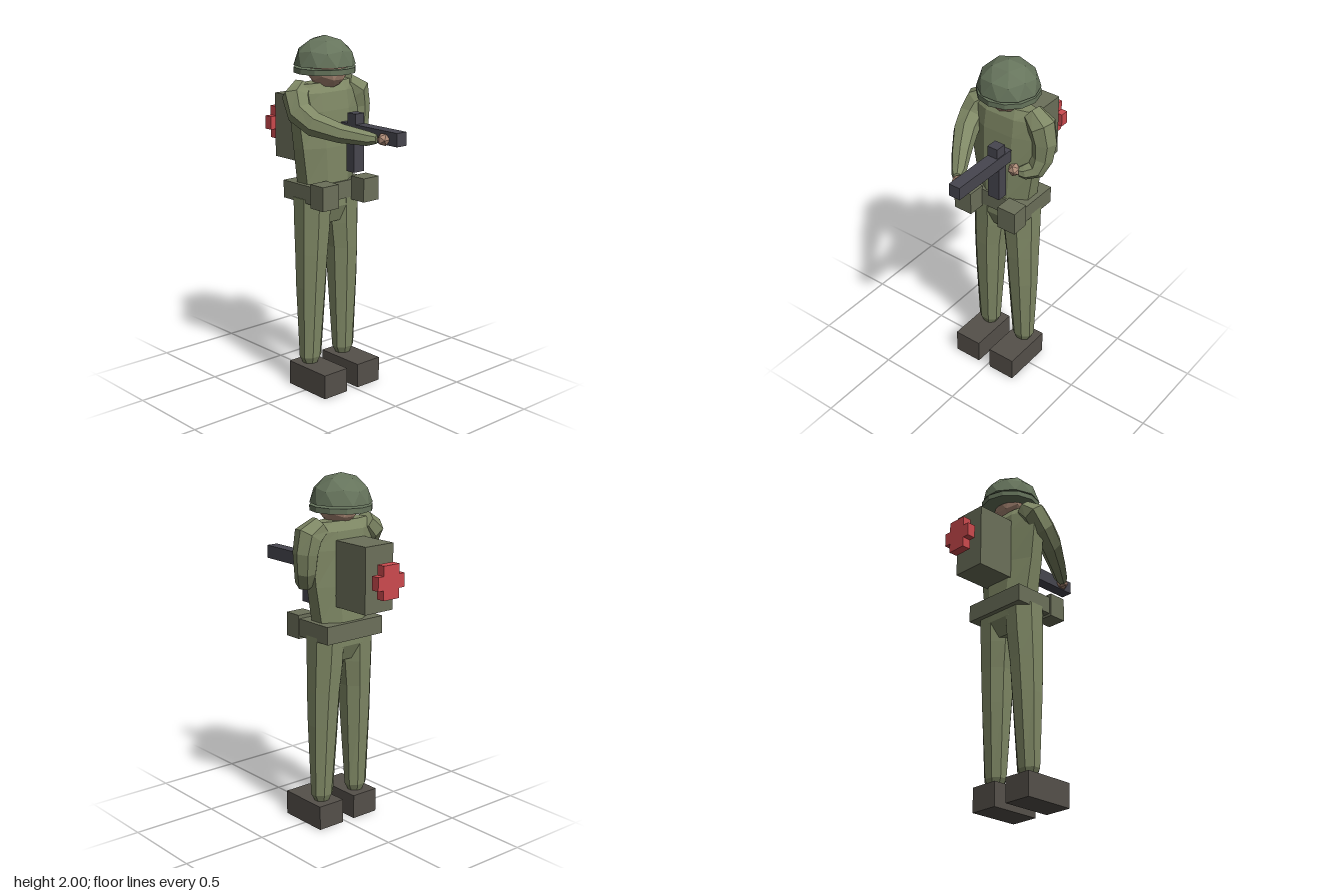
import * as THREE from 'three';

const mat = (color) => new THREE.MeshStandardMaterial({ color, flatShading: true });
const V = (x, y, z) => new THREE.Vector3(x, y, z);

// Closed surface through a list of rings (arrays of Vector3) of equal length.
function loft(rings) {
  const n = rings[0].length, pos = [];
  const tri = (a, b, c) => [a, b, c].forEach((p) => pos.push(p.x, p.y, p.z));
  for (let i = 0; i < rings.length - 1; i++) {
    for (let j = 0; j < n; j++) {
      const k = (j + 1) % n, a = rings[i], b = rings[i + 1];
      tri(a[j], a[k], b[k]);
      tri(a[j], b[k], b[j]);
    }
  }
  const first = rings[0], last = rings[rings.length - 1];
  for (let j = 1; j < n - 1; j++) {
    tri(first[0], first[j + 1], first[j]);
    tri(last[0], last[j], last[j + 1]);
  }
  const g = new THREE.BufferGeometry();
  g.setAttribute('position', new THREE.Float32BufferAttribute(pos, 3));
  g.computeVertexNormals();
  return g;
}

// Horizontal rings, bottom to top: [y, centre x, centre z, radius x, radius z]
function levels(list, n) {
  return loft(list.map(([y, cx, cz, rx, rz]) => Array.from({ length: n }, (_, j) => {
    const a = ((j + 0.5) / n) * Math.PI * 2, s = 1 / Math.cos(Math.PI / n);
    return V(cx + rx * s * Math.cos(a), y, cz - rz * s * Math.sin(a));
  })));
}

// Tapered limb along a path: [x, y, z, radius]
function limb(list, n) {
  const pts = list.map(([x, y, z]) => V(x, y, z));
  let u = V(1, 0, 0);
  return loft(pts.map((p, i) => {
    const t = pts[Math.min(i + 1, pts.length - 1)].clone().sub(pts[Math.max(i - 1, 0)]).normalize();
    u = u.clone().addScaledVector(t, -u.dot(t)).normalize();
    const w = t.clone().cross(u), r = list[i][3];
    return Array.from({ length: n }, (_, j) => {
      const a = (j / n) * Math.PI * 2;
      return p.clone().addScaledVector(u, r * Math.cos(a)).addScaledVector(w, r * Math.sin(a));
    });
  }));
}

export function createModel() {
  const model = new THREE.Group();
  const cloth = mat(0x7f8865), gear = mat(0x6c705a), shell = mat(0x66745c);
  const skin = mat(0xae8c78), leather = mat(0x55504a), metal = mat(0x47464f), red = mat(0xcc4a4e);
  const add = (name, geo, material) => {
    const m = new THREE.Mesh(geo, material);
    m.name = name;
    model.add(m);
    return m;
  };
  // Box given by its extents on each axis
  const box = (name, [x0, x1], [y0, y1], [z0, z1], material) =>
    add(name, new THREE.BoxGeometry(x1 - x0, y1 - y0, z1 - z0), material)
      .position.set((x0 + x1) / 2, (y0 + y1) / 2, (z0 + z1) / 2);
  const mid = 0.02;

  // Torso and hips
  add('torso', levels([
    [0.97, -0.05, mid, 0.07, 0.13],
    [1.06, -0.055, mid, 0.105, 0.195],
    [1.2, -0.06, mid, 0.105, 0.17],
    [1.4, -0.055, mid, 0.1, 0.2],
    [1.6, -0.06, mid, 0.09, 0.225],
    [1.7, -0.065, mid, 0.08, 0.22],
    [1.75, -0.065, mid, 0.05, 0.19],
  ], 8), cloth);

  // Legs and boots
  for (const s of [1, -1]) {
    add('leg', levels([
      [0.135, -0.05, mid + s * 0.125, 0.035, 0.04],
      [0.18, -0.05, mid + s * 0.125, 0.052, 0.063],
      [0.6, -0.05, mid + s * 0.118, 0.08, 0.082],
      [0.8, -0.05, mid + s * 0.113, 0.092, 0.088],
      [0.95, -0.053, mid + s * 0.104, 0.1, 0.097],
      [1.12, -0.055, mid + s * 0.1, 0.108, 0.1],
    ], 8), cloth);
    const c = mid + s * 0.125;
    box('boot', [-0.135, 0.17], [0, 0.14], [c - 0.084, c + 0.084], leather);
    const p = mid + s * 0.15;
    box('beltPouch', [0.05, 0.155], [1.085, 1.22], [p - 0.057, p + 0.057], gear);
  }
  box('belt', [-0.19, 0.055], [1.1, 1.2], [-0.18, 0.215], gear);

  // Arms and hands
  add('leftArm', limb([
    [-0.09, 1.73, 0.16, 0.055], [-0.07, 1.68, 0.22, 0.078], [-0.02, 1.605, 0.235, 0.074],
    [0.07, 1.55, 0.21, 0.068], [0.2, 1.51, 0.135, 0.053], [0.32, 1.49, 0.055, 0.04],
    [0.36, 1.49, 0.03, 0.026],
  ], 7), cloth);
  add('rightArm', limb([
    [-0.07, 1.73, -0.13, 0.06], [-0.06, 1.68, -0.2, 0.082], [-0.06, 1.59, -0.22, 0.072],
    [-0.05, 1.49, -0.215, 0.062], [-0.02, 1.425, -0.195, 0.055], [0.02, 1.41, -0.15, 0.042],
    [0.035, 1.41, -0.125, 0.028],
  ], 7), cloth);
  const hand = new THREE.IcosahedronGeometry(0.037, 0);
  add('leftHand', hand, skin).position.set(0.385, 1.488, 0.005);
  add('rightHand', hand, skin).position.set(0.042, 1.415, -0.1);

  // Head and helmet
  add('head', new THREE.IcosahedronGeometry(0.115, 1), skin).position.set(-0.042, 1.825, mid);
  const dome = new THREE.IcosahedronGeometry(1, 1);
  dome.rotateZ(Math.atan(2 / (1 + Math.sqrt(5))));
  const dp = dome.attributes.position;
  for (let i = 0; i < dp.count; i++) dp.setY(i, Math.max(0, dp.getY(i)));
  dome.scale(0.171, 0.16, 0.171);
  dome.computeVertexNormals();
  add('helmetDome', dome, shell).position.set(-0.064, 1.84, mid);
  add('helmetBrim', new THREE.CylinderGeometry(0.173, 0.173, 0.03, 12), shell)
    .position.set(-0.064, 1.815, mid);

  // Backpack with a red cross behind it
  box('backpack', [-0.383, -0.14], [1.29, 1.655], [-0.083, 0.112], gear);
  const cross = new THREE.Shape();
  const a = 0.093, b = 0.038, c = 0.055;
  [[c, a], [-c, a], [-c, b], [-a, b], [-a, -b], [-c, -b], [-c, -a], [c, -a], [c, -b], [a, -b], [a, b], [c, b]]
    .forEach(([x, y], i) => (i ? cross.lineTo(x, y) : cross.moveTo(x, y)));
  const emblem = add('backCross', new THREE.ExtrudeGeometry(cross, { depth: 0.05, bevelEnabled: false }), red);
  emblem.rotation.y = Math.PI / 2;
  emblem.position.set(-0.477, 1.472, 0.016);

  // Gun
  box('gunBarrel', [0.04, 0.475], [1.458, 1.532], [-0.077, -0.008], metal);
  box('gunMagazine', [0.09, 0.15], [1.265, 1.46], [-0.079, -0.004], metal);
  box('gunSight', [0.09, 0.155], [1.53, 1.59], [-0.072, -0.008], metal);

  return model;
}
